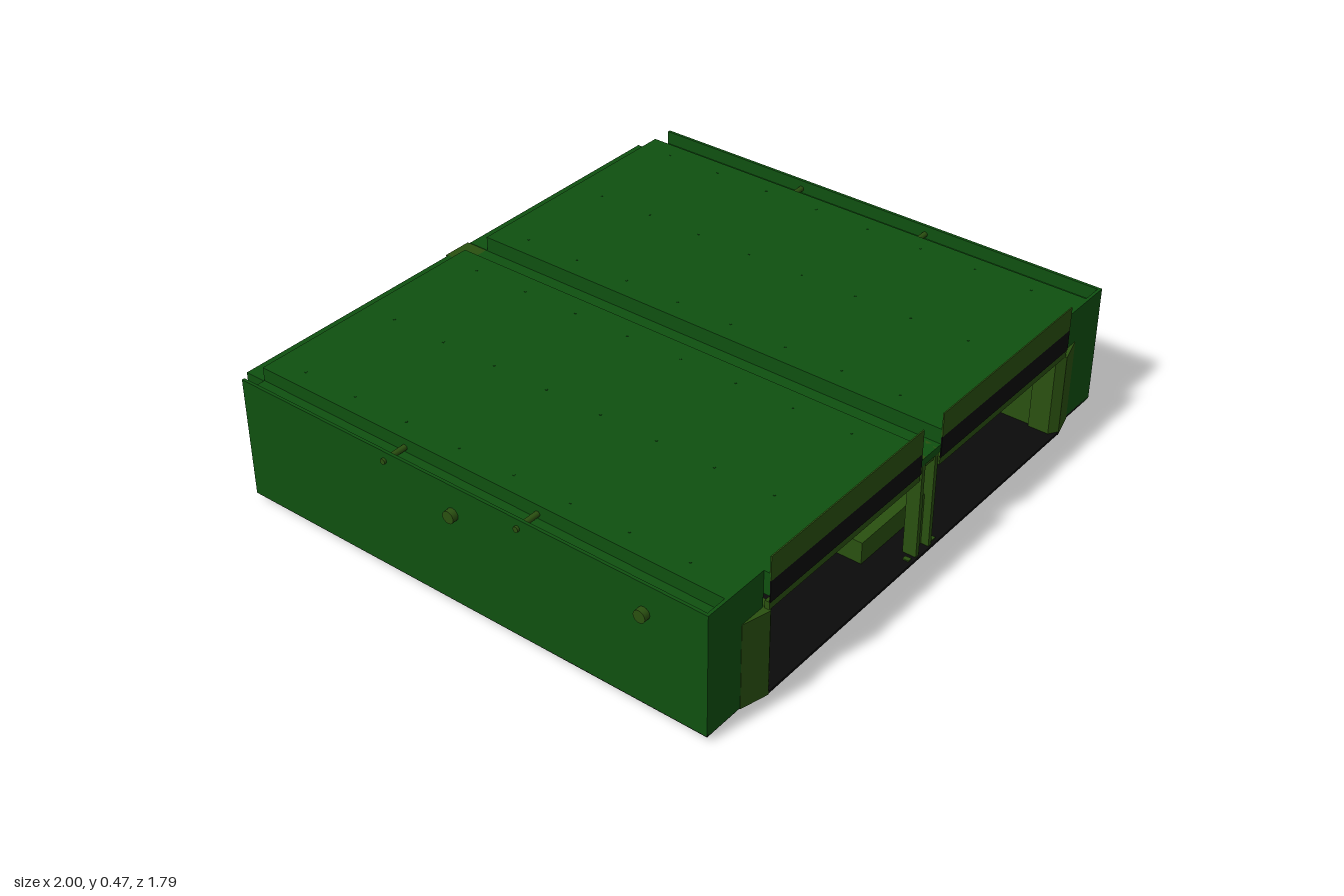
import * as THREE from 'three';

const mat = (color) => new THREE.MeshStandardMaterial({ color, side: THREE.DoubleSide });

export function createModel() {
  const root = new THREE.Group();
  const green = mat(0x0f5010), olive = mat(0x2a5010), black = mat(0x0a0a0a);

  const add = (name, geo, material) => {
    const m = new THREE.Mesh(geo, material);
    m.name = name;
    root.add(m);
    return m;
  };
  // box given by its limits on each axis
  const box = (name, material, x0, x1, y0, y1, z0, z1) => {
    const g = new THREE.BoxGeometry(x1 - x0, y1 - y0, z1 - z0);
    g.translate((x0 + x1) / 2, (y0 + y1) / 2, (z0 + z1) / 2);
    return add(name, g, material);
  };
  // box repeated on both sides
  const pair = (name, material, x0, x1, ...r) => {
    box(name + 'Left', material, x0, x1, ...r);
    box(name + 'Right', material, -x1, -x0, ...r);
  };
  // floor-plan outline (x, z) raised from y0 to y1
  const plan = (name, material, pts, y0, y1) => {
    const s = new THREE.Shape(pts.map(([x, z]) => new THREE.Vector2(x, -z)));
    const g = new THREE.ExtrudeGeometry(s, { depth: y1 - y0, bevelEnabled: false });
    g.rotateX(-Math.PI / 2);
    g.translate(0, y0, 0);
    return add(name, g, material);
  };

  // floor plate with chamfered front and notched rear corners
  const half = [[0.05, -0.82], [0.05, -0.89], [0.9, -0.89], [0.9, -0.815], [0.98, -0.815], [0.98, 0.865], [0.84, 0.865], [0.75, 0.89]];
  const mirrored = half.map(([x, z]) => [-x, z]).reverse();
  plan('floor', black, [...half, ...mirrored], 0.018, 0.026);

  // outer hull: side panels, channels and front plates
  pair('sidePanel', green, 0.97, 0.98, 0.02, 0.42, -0.815, 0.865);
  pair('sideChannel', green, 0.9, 0.97, 0.365, 0.375, -0.815, 0.86);
  pair('rearCorner', green, 0.9, 0.975, 0.02, 0.375, -0.815, -0.805);
  pair('frontPlate', green, 0.84, 0.975, 0.02, 0.42, 0.855, 0.865);
  pair('frontPlateTop', green, 0.75, 0.84, 0.3, 0.42, 0.855, 0.865);

  // two top decks with a channel between them
  pair('deck', green, 0.05, 0.75, 0.345, 0.42, -0.815, 0.885);
  pair('deckEdge', green, 0.75, 0.9, 0.345, 0.42, -0.815, 0.864);
  box('centreChannel', green, -0.05, 0.05, 0.345, 0.37, -0.815, 0.885);

  // rear section, split by a narrow recess
  pair('rearWall', green, 0.05, 0.9, 0.026, 0.372, -0.89, -0.81);
  pair('rearHatch', green, 0.05, 0.385, 0.04, 0.3, -0.9, -0.89);
  box('rearRecess', green, -0.05, 0.05, 0.026, 0.37, -0.83, -0.81);
  box('rearCap', olive, -0.05, 0.05, 0.35, 0.37, -0.9, -0.82);
  pair('rearFoot', olive, 0.055, 0.07, 0, 0.02, -0.81, -0.79);

  // flaps standing along the front edge, dark on the lower half
  pair('flap', olive, 0.05, 0.75, 0.395, 0.475, 0.884, 0.888);
  pair('flapLower', black, 0.05, 0.75, 0.325, 0.395, 0.884, 0.888);
  pair('frontSill', olive, 0.05, 0.75, 0.3, 0.325, 0.87, 0.885);

  // angled jambs beside the front opening
  for (const s of [1, -1]) {
    const pts = [[0.84, 0.866], [0.75, 0.89], [0.72, 0.87], [0.72, 0.8], [0.84, 0.84]].map(([x, z]) => [s * x, z]);
    plan(s > 0 ? 'jambLeft' : 'jambRight', olive, s > 0 ? pts : pts.reverse(), 0.015, 0.3);
  }

  // hall inside
  pair('innerWall', olive, 0.73, 0.745, 0.026, 0.345, -0.8, 0.82);
  box('innerBackWall', olive, -0.73, 0.73, 0.026, 0.345, -0.81, -0.79);
  pair('innerDarkStrip', black, 0.685, 0.73, 0.026, 0.3, -0.79, -0.77);
  pair('backDoor', olive, 0.28, 0.68, 0.026, 0.3, -0.79, -0.75);
  for (const s of [1, -1]) {
    const x = s > 0 ? 0.38 : -0.68;
    box('doorPanel', olive, x, x + 0.3, 0.026, 0.115, -0.75, -0.74);
    const k = s > 0 ? 0.4 : -0.42;
    box('doorLatch', olive, k, k + 0.02, 0.045, 0.085, -0.74, -0.73);
  }
  pair('ceilingDuct', olive, 0.25, 0.54, 0.27, 0.345, -0.74, -0.55);

  // centre post at the opening
  pair('postRail', olive, 0.025, 0.04, 0.02, 0.37, 0.84, 0.885);
  box('postWeb', olive, -0.025, 0.025, 0.02, 0.2, 0.84, 0.86);
  box('postHead', olive, -0.025, 0.025, 0.33, 0.36, 0.84, 0.88);
  pair('postFoot', olive, 0.055, 0.07, 0.005, 0.03, 0.86, 0.88);

  // stepped pedestal with a drum behind it
  box('pedestal', olive, -0.16, 0.16, 0.026, 0.1, 0.42, 0.78);
  box('pedestalStep', olive, -0.12, 0.12, 0.1, 0.125, 0.44, 0.74);
  const drum = add('drum', new THREE.CylinderGeometry(0.16, 0.16, 0.32, 32), olive);
  drum.position.set(0, 0.186, -0.55);

  // side pins: thick bolts and thin rods that cross the channel
  const pin = (name, r, x0, x1, y, z) => {
    for (const s of [1, -1]) {
      const g = new THREE.CylinderGeometry(r, r, x1 - x0, 16);
      g.rotateZ(Math.PI / 2);
      add(name, g, olive).position.set(s * (x0 + x1) / 2, y, z);
    }
  };
  for (const z of [0, 0.66]) pin('sideBolt', 0.02, 0.96, 1, 0.325, z);
  for (const z of [-0.25, 0.235]) pin('sideRod', 0.009, 0.9, 0.988, 0.39, z);

  // rows of small deck rivets
  const rivet = new THREE.CylinderGeometry(0.004, 0.004, 0.002, 6);
  for (const x of [0.12, 0.48, 0.84])
    for (let i = 0; i < 8; i++)
      for (const s of [1, -1])
        add('deckRivet', rivet, green).position.set(s * x, 0.4205, -0.7 + i * 0.2);

  return root;
}
